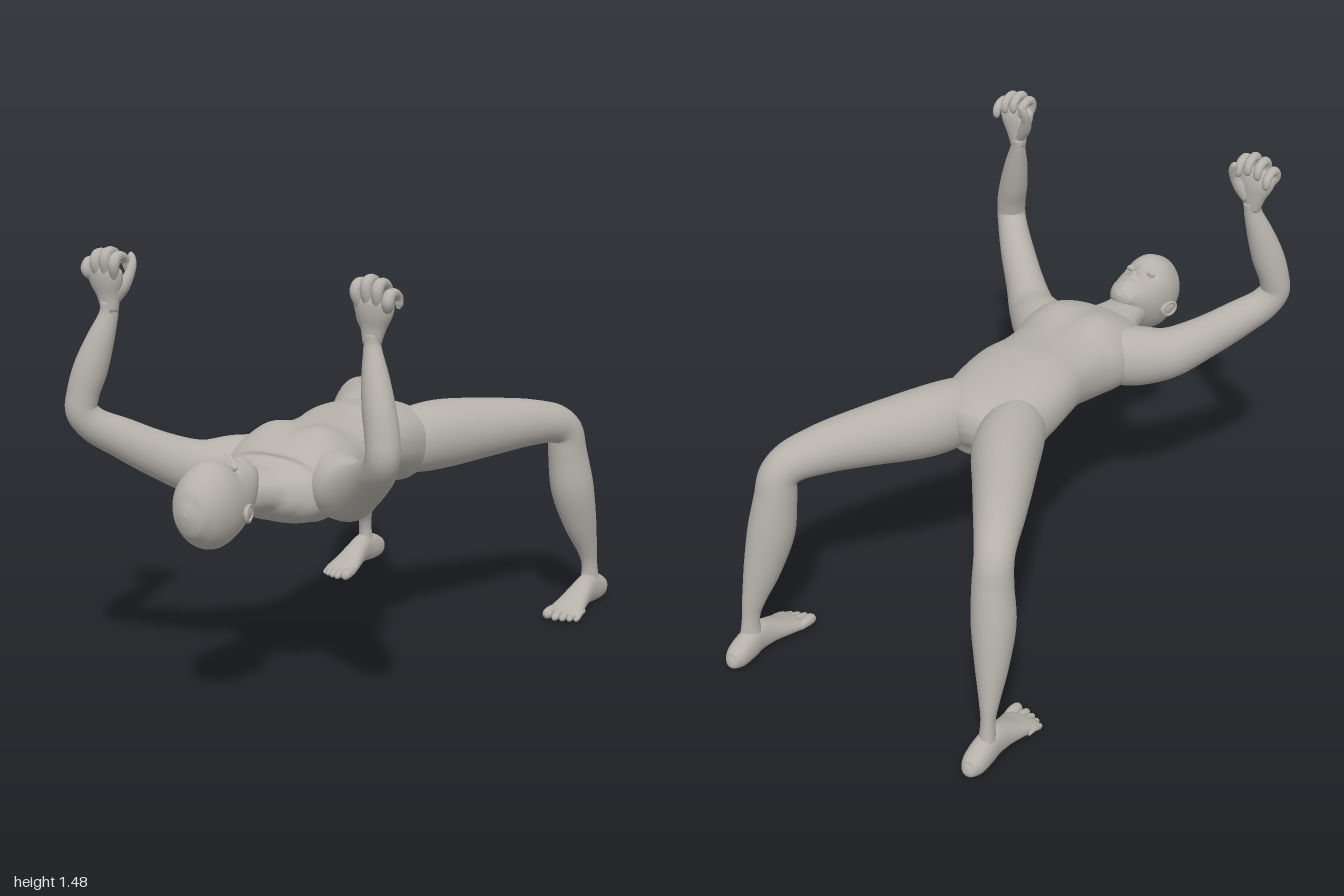
import * as THREE from 'three';

const skin = new THREE.MeshStandardMaterial({ color: 0xb5b1aa });
skin.name = 'skin';

// Smooth closed loft. Rows are [x, y, z, halfWidth, halfDepth]; ref is the width direction.
// m = -1 mirrors in x. Bumps are [x, z, spreadX, spreadZ, height, +1 upper / -1 lower].
function loft(name, rows, { ref = [1, 0, 0], m = 1, around = 28, steps = 5, power = 2, bumps = [] } = {}) {
  const path = new THREE.CatmullRomCurve3(rows.map(r => new THREE.Vector3(r[0] * m, r[1], r[2])));
  const size = new THREE.CatmullRomCurve3(rows.map(r => new THREE.Vector3(r[3], r[4], 0)), false, 'catmullrom', 0.5);
  const side0 = new THREE.Vector3(ref[0] * m, ref[1], ref[2]);
  const n = (rows.length - 1) * steps, pos = [], idx = [];
  const super_ = v => Math.sign(v) * Math.pow(Math.abs(v), 2 / power);
  for (let i = 0; i <= n; i++) {
    const c = path.getPoint(i / n), t = path.getTangent(i / n), r = size.getPoint(i / n);
    const s = side0.clone().addScaledVector(t, -side0.dot(t)).normalize();
    const u = t.clone().cross(s);
    for (let j = 0; j < around; j++) {
      const k = j / around * Math.PI * 2, sn = Math.sin(k);
      const p = c.clone()
        .addScaledVector(s, super_(Math.cos(k)) * Math.max(r.x, 0.002))
        .addScaledVector(u, super_(sn) * Math.max(r.y, 0.002));
      let dy = 0;
      for (const [bx, bz, sx, sz, h, up] of bumps) {
        const w = Math.max(0, sn * up);
        dy += up * h * w * Math.exp(-(((Math.abs(p.x) - bx) / sx) ** 2) - ((p.z - bz) / sz) ** 2);
      }
      pos.push(p.x, p.y + dy, p.z);
    }
  }
  for (let i = 0; i < n; i++) for (let j = 0; j < around; j++) {
    const a = i * around + j, b = i * around + (j + 1) % around;
    idx.push(a, b, a + around, b, b + around, a + around);
  }
  // End caps
  const first = path.getPoint(0), last = path.getPoint(1), base = pos.length / 3;
  pos.push(first.x, first.y, first.z, last.x, last.y, last.z);
  for (let j = 0; j < around; j++) {
    const q = (j + 1) % around;
    idx.push(base, q, j, base + 1, n * around + j, n * around + q);
  }
  const g = new THREE.BufferGeometry();
  g.setAttribute('position', new THREE.Float32BufferAttribute(pos, 3));
  g.setIndex(idx);
  g.computeVertexNormals();
  const mesh = new THREE.Mesh(g, skin);
  mesh.name = name;
  return mesh;
}

function ellipsoid(name, [x, y, z], [rx, ry, rz], rotY = 0) {
  const mesh = new THREE.Mesh(new THREE.SphereGeometry(1, 20, 14), skin);
  mesh.name = name;
  mesh.position.set(x, y, z);
  mesh.scale.set(rx, ry, rz);
  mesh.rotation.y = rotY;
  return mesh;
}

function makeHead() {
  const head = new THREE.Group();
  head.name = 'head';
  head.add(loft('skull', [
    [0, .842, .662, .02, .012], [0, .832, .675, .045, .036], [0, .812, .71, .07, .066],
    [0, .785, .76, .088, .102], [0, .765, .82, .098, .13], [0, .76, .88, .1, .138],
    [0, .758, .94, .086, .112], [0, .756, .98, .054, .07], [0, .756, .995, .022, .028], [0, .756, .999, .004, .004],
  ], {
    around: 80, steps: 9,
    bumps: [
      [.042, .803, .022, .016, -.014, 1],  // eye sockets
      [.035, .832, .035, .014, .005, 1],   // brow
      [0, .775, .011, .03, .012, 1],       // nose bridge
      [0, .752, .018, .012, .016, 1],      // nose tip
      [0, .717, .026, .006, .008, 1], [0, .703, .022, .006, .008, 1], // lips
      [0, .68, .024, .012, .006, 1],       // chin
    ],
  }));
  for (const m of [1, -1]) {
    head.add(ellipsoid('eye', [m * .042, .867, .803], [.017, .012, .009]));
    head.add(ellipsoid('ear', [m * .105, .74, .82], [.011, .024, .034], m * .3));
    const rim = new THREE.Mesh(new THREE.TorusGeometry(.024, .006, 8, 20), skin);
    rim.name = 'earRim';
    rim.position.set(m * .112, .738, .823);
    rim.rotation.y = Math.PI / 2 + m * .3;
    rim.scale.x = 1.25;
    head.add(rim);
  }
  return head;
}

function makeHand(m) {
  const hand = new THREE.Group();
  hand.name = m > 0 ? 'leftHand' : 'rightHand';
  hand.add(loft('palm', [
    [.475, 1.28, .712, .028, .024], [.479, 1.33, .711, .042, .026], [.483, 1.375, .715, .062, .03],
    [.486, 1.41, .72, .066, .026], [.486, 1.432, .722, .05, .014],
  ], { m }));
  // Curled fingers, index to little
  [[.436, 1.458], [.47, 1.47], [.507, 1.462], [.542, 1.435]].forEach(([x, y], i) => {
    const k = 486e-3 + (x - .486) * .85;
    hand.add(loft('finger', [
      [k, 1.39, .722, .015, .016], [x, y - .025, .738, .018, .018], [x, y - .003, .728, .018, .017],
      [x, y, .70, .016, .015], [x, y - .016, .676, .015, .014], [x, y - .038, .672, .013, .012],
      [x, y - .05, .676, .005, .005],
    ], { m, around: 12 }));
  });
  hand.add(loft('thumb', [
    [.46, 1.32, .705, .018, .02], [.436, 1.36, .695, .022, .023], [.42, 1.40, .678, .016, .017],
    [.42, 1.432, .664, .015, .014], [.428, 1.455, .657, .011, .011], [.431, 1.464, .655, .004, .004],
  ], { m, around: 12 }));
  return hand;
}

function makeFoot(m) {
  const foot = new THREE.Group();
  foot.name = m > 0 ? 'leftFoot' : 'rightFoot';
  foot.add(loft('footBody', [
    [.48, .048, -.999, .008, .01], [.48, .046, -.99, .025, .028], [.48, .048, -.96, .038, .042],
    [.48, .059, -.91, .04, .053], [.48, .067, -.86, .038, .055], [.478, .057, -.8, .044, .043],
    [.476, .04, -.74, .055, .031], [.475, .027, -.69, .063, .022], [.475, .02, -.66, .056, .012],
  ], { m, power: 2.2 }));
  // Toes, big to little
  [[.427, -.622, .019], [.459, -.62, .014], [.485, -.628, .013], [.509, -.638, .012], [.53, -.652, .011]]
    .forEach(([x, z, r]) => foot.add(loft('toe', [
      [x, .028, z - .075, r * .8, r * .8], [x, .027, z - .045, r, r], [x, r + .006, z - .02, r, r],
      [x, r + .003, z - .006, r * .75, r * .75], [x, r + .002, z, r * .2, r * .2],
    ], { m, around: 12 })));
  return foot;
}

export function createModel() {
  const model = new THREE.Group();
  model.name = 'recliningFigure';

  // Trunk from crotch to neck, face up
  model.add(loft('torso', [
    [0, .72, -.295, .03, .03], [0, .728, -.265, .12, .09], [0, .733, -.2, .185, .127],
    [0, .755, -.08, .2, .13], [0, .772, .04, .198, .125], [0, .767, .14, .185, .122],
    [0, .755, .25, .192, .133], [0, .75, .35, .215, .138], [0, .74, .45, .215, .136],
    [0, .726, .52, .195, .11], [0, .731, .57, .145, .088], [0, .742, .62, .1, .067],
    [0, .746, .68, .077, .058], [0, .75, .77, .065, .055],
  ], {
    around: 64, steps: 7, power: 2.3,
    bumps: [
      [.105, .375, .075, .075, .025, 1],   // chest
      [0, .3, .02, .12, -.008, 1],         // breastbone
      [0, -.02, .012, .012, -.01, 1],      // navel
      [.095, -.16, .07, .09, .02, -1],     // buttocks
      [0, -.19, .022, .08, -.025, -1],     // cleft
      [0, .2, .03, .25, -.014, -1],        // spine
      [.11, .43, .06, .08, .012, -1],      // shoulder blades
    ],
  }));
  model.add(makeHead());

  for (const m of [1, -1]) {
    const label = m > 0 ? 'left' : 'right';
    // Shoulder, raised upper arm and upright forearm
    model.add(loft(label + 'Arm', [
      [.11, .755, .375, .08, .1], [.195, .748, .445, .1, .106], [.28, .752, .515, .085, .092],
      [.37, .80, .60, .07, .077], [.46, .865, .685, .062, .066], [.525, .918, .752, .055, .056],
      [.55, .965, .777, .052, .052], [.546, 1.02, .772, .052, .052], [.525, 1.10, .756, .05, .055],
      [.50, 1.19, .735, .041, .045], [.479, 1.27, .715, .027, .031], [.475, 1.31, .711, .024, .03],
    ], { ref: [-.7, 0, .7], m, steps: 6 }));
    model.add(makeHand(m));
    // Thigh, bent knee and shin
    model.add(loft(label + 'Leg', [
      [.085, .74, -.1, .08, .09], [.115, .74, -.19, .105, .115], [.165, .74, -.31, .113, .12],
      [.26, .74, -.47, .098, .103], [.345, .735, -.615, .082, .084], [.402, .715, -.718, .068, .07],
      [.422, .68, -.757, .063, .066], [.428, .60, -.772, .066, .072], [.442, .47, -.79, .071, .08],
      [.46, .33, -.828, .053, .064], [.476, .21, -.868, .03, .038], [.48, .15, -.88, .024, .031],
      [.48, .08, -.885, .03, .04],
    ], { ref: [.86, 0, .5], m, steps: 6 }));
    model.add(makeFoot(m));
  }
  return model;
}
